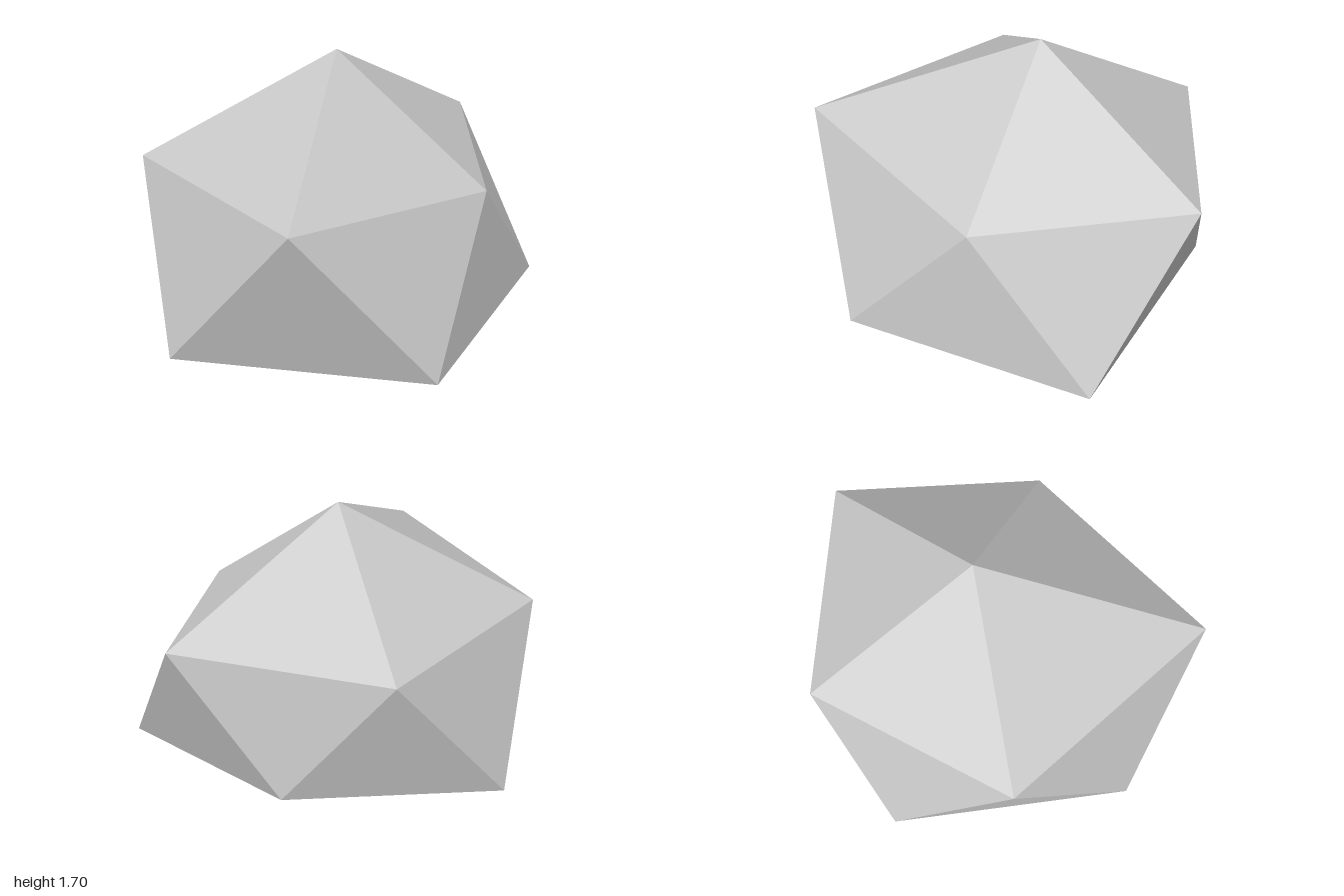
import * as THREE from 'three';

export function createModel() {
  const group = new THREE.Group();
  group.name = 'lowPolyRock';

  const stone = new THREE.MeshStandardMaterial({ color: 0xc8c8c8, flatShading: true });
  stone.name = 'stoneGrey';

  // Two uneven five-point rings between an upper and a lower tip
  const top = [0.06, 1.7, -0.08];
  const bottom = [0.06, 0, -0.08];
  const upper = [
    [0.88, 1.12, -0.08], [0.41, 1.24, 1.0], [-0.73, 1.185, 0.49],
    [-0.665, 1.16, -0.615], [0.36, 1.175, -1.0],
  ];
  const lower = [
    [0.94, 0.41, 0.56], [-0.275, 0.4, 0.97], [-0.945, 0.435, -0.08],
    [-0.19, 0.51, -0.865], [0.935, 0.41, -0.715],
  ];

  // Cap, zigzag band and base facets
  const points = [];
  for (let i = 0; i < 5; i++) {
    const j = (i + 1) % 5;
    points.push(
      top, upper[j], upper[i],
      upper[i], upper[j], lower[i],
      lower[i], upper[j], lower[j],
      bottom, lower[i], lower[j],
    );
  }
  const geometry = new THREE.BufferGeometry();
  geometry.setAttribute('position', new THREE.Float32BufferAttribute(points.flat(), 3));
  geometry.computeVertexNormals();

  const rock = new THREE.Mesh(geometry, stone);
  rock.name = 'rock';
  group.add(rock);
  return group;
}
